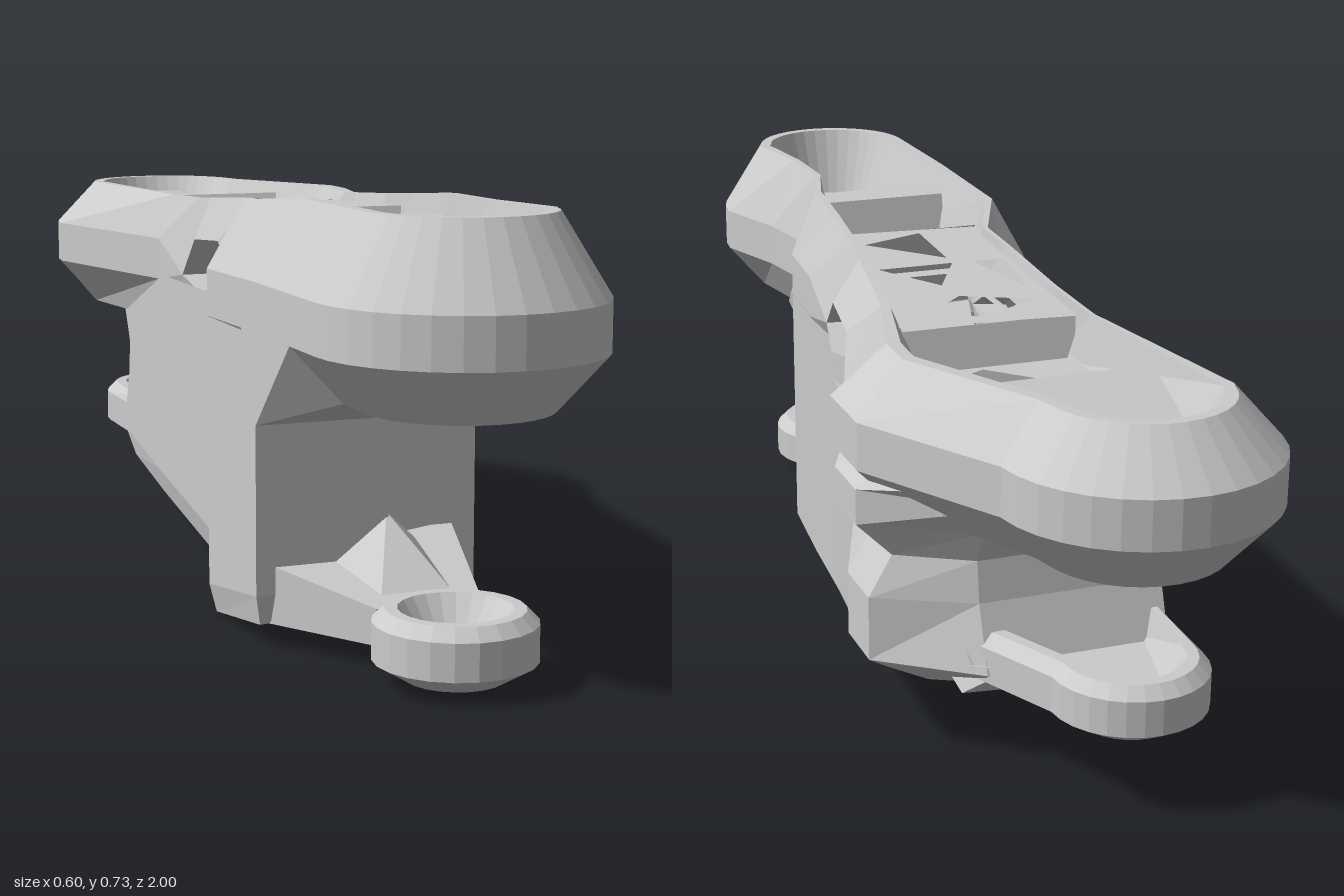
import * as THREE from 'three';
import { ConvexGeometry } from 'three/addons/geometries/ConvexGeometry.js';

const grey = new THREE.MeshStandardMaterial({ color: 0xcccccc, flatShading: true, side: THREE.DoubleSide });
const clamp = THREE.MathUtils.clamp;

function mesh(geo, name) {
  const m = new THREE.Mesh(geo, grey);
  m.name = name;
  return m;
}

// Points [x, z, insetScale] on an arc
function arc(cx, cz, r, a0, a1, n) {
  return Array.from({ length: n + 1 }, (_, i) => {
    const a = a0 + (a1 - a0) * i / n;
    return [cx + r * Math.cos(a), cz + r * Math.sin(a), 1];
  });
}

// Move an outline inwards, each point weighted by its own scale
function inset(pts, d) {
  const n = pts.length;
  return pts.map(([x, z, s = 1], i) => {
    const p = pts[(i + n - 1) % n], q = pts[(i + 1) % n];
    const dx = q[0] - p[0], dz = q[1] - p[1], l = Math.hypot(dx, dz);
    return [x + dz / l * d * s, z - dx / l * d * s];
  });
}

function polygons(pos) {
  const g = new THREE.BufferGeometry();
  g.setAttribute('position', new THREE.Float32BufferAttribute(pos, 3));
  g.computeVertexNormals();
  return g;
}

// Skin a list of rings; quads may be skipped, extra ring pairs may be bridged
function skin(rows, { closed = false, skip = () => false, extra = [] } = {}) {
  const pos = [], n = rows[0].length;
  const quad = (a, b, i) => {
    const j = (i + 1) % n, A = rows[a], B = rows[b];
    pos.push(...A[i], ...A[j], ...B[j], ...A[i], ...B[j], ...B[i]);
  };
  for (let k = 0; k < rows.length - (closed ? 0 : 1); k++)
    for (let i = 0; i < n; i++) if (!skip(k, i)) quad(k, (k + 1) % rows.length, i);
  for (const [a, b, i] of extra) quad(a, b, i);
  return polygons(pos);
}

// Sheet with cut-outs, height given by a rule h(x, z)
function sheet(outline, holes, h) {
  const v = p => new THREE.Vector2(p[0], p[1]);
  const s = new THREE.Shape(outline.map(v));
  s.holes = holes.map(o => new THREE.Path(o.map(v)));
  const g = new THREE.ShapeGeometry(s), p = g.attributes.position;
  for (let i = 0; i < p.count; i++) {
    const x = p.getX(i), z = p.getY(i);
    p.setXYZ(i, x, h(x, z), z);
  }
  g.computeVertexNormals();
  return g;
}

// Plate spanning two edges, each [xLeft, xRight, y, z]
function ramp(a, b) {
  const [p, q, r, s] = [[a[0], a[2], a[3]], [a[1], a[2], a[3]], [b[1], b[2], b[3]], [b[0], b[2], b[3]]];
  return polygons([...p, ...q, ...r, ...p, ...r, ...s]);
}

// Folded strip of plates through a list of edges
function folds(group, name, edges) {
  for (let i = 0; i < edges.length - 1; i++) group.add(mesh(ramp(edges[i], edges[i + 1]), name));
}

const hull = pts => new ConvexGeometry(pts.map(p => new THREE.Vector3(...p)));

const frontWindow = [[-0.18, 0.25], [0.03, 0.23], [0.04, 0.37], [-0.17, 0.37]];
const rearWindow = [[-0.1, -0.49], [0.02, -0.36], [0.12, -0.41], [0.12, -0.51], [0, -0.54]];
const middleCavity = [[-0.13, 0.18], [0.05, 0.18], [0.06, 0], [0.08, -0.3], [-0.13, -0.3]];

// Underside height along the length
function bottom(z) {
  const k = [[0.5, 0.04], [0.4, 0], [0.1, 0], [-0.3, 0.04], [-0.5, 0.1], [-0.75, 0.13]];
  for (let i = 0; i < k.length - 1; i++)
    if (z >= k[i + 1][0]) return THREE.MathUtils.lerp(k[i][1], k[i + 1][1], clamp((k[i][0] - z) / (k[i][0] - k[i + 1][0]), 0, 1));
  return 0.13;
}

function upperFrame() {
  const g = new THREE.Group();
  g.name = 'upperFrame';
  const outline = [
    ...arc(-0.07, 0.77, 0.23, Math.PI, 0, 16),
    [0.11, 0.62, 0.7], [0.09, 0.5, 0.5], [0.13, 0.4, 0.6], [0.14, 0.25, 0.6], [0.155, 0.09, 0.6], [0.17, 0, 0.6],
    [0.19, -0.14, 0.6], [0.22, -0.22, 0.8], [0.3, -0.4, 1.15], [0.3, -0.54, 1.15],
    ...arc(-0.07, -0.77, 0.23, -0.1, -Math.PI, 16),
    [-0.2, -0.38, 0.4], [-0.2, -0.22, 0.4], [-0.2, -0.14, 0.4], [-0.2, 0, 0.4], [-0.2, 0.09, 0.45],
    [-0.3, 0.25, 0.8], [-0.3, 0.5, 1],
  ];
  const n = outline.length;
  const drop = (y, z) => y - clamp((0.5 - z) / 0.8, 0, 1) * (y > 0.7 ? 0.06 : 0.015);
  // Ring profile: outer chamfers, rim, tapering pocket walls above and below
  const profile = [[0.43, 0.08], [0.52, 0], [0.6, 0], [0.73, 0.08], [0.73, 0.1], [0.6, 0.14], [0.52, 0.14], [0.43, 0.1]];
  const inHole = z => z <= 0.091 && z >= -0.221;
  const rows = profile.map(([y, d]) => inset(outline, d).map(([x, z], i) => {
    const oz = outline[i][1];
    let h = drop(y, oz);
    if (inHole(oz) && (y === 0.52 || y === 0.6)) {
      if (oz > 0.08) h = 0.55;
      else if (oz < -0.21) h = 0.53;
      else if (oz < -0.1) h = y === 0.52 ? 0.515 : 0.605;
      else h = y === 0.52 ? 0.5 : 0.615;
    }
    return [x, h, z];
  }));
  const windowCols = outline.map((_, i) => i).filter(i => inHole(outline[i][1]) && inHole(outline[(i + 1) % n][1]));
  g.add(mesh(skin(rows, {
    closed: true,
    skip: (k, i) => (k === 1 || k === 5) && windowCols.includes(i),
    extra: windowCols.flatMap(i => [[1, 6, i], [5, 2, i]]),
  }), 'frameRing'));

  // Floors of the lower and upper pockets with the through windows
  for (const [y, holes] of [[0.52, []], [0.6, [middleCavity]]])
    g.add(mesh(sheet(inset(outline, 0.138), [frontWindow, rearWindow, ...holes], (x, z) => drop(y, z)), 'pocketFloor'));
  // Raised middle plate with triangular lightening cuts
  g.add(mesh(sheet([[-0.17, 0.17], [0.1, 0.19], [0.12, 0], [0.17, -0.31], [-0.17, -0.34]], [
    [[-0.13, -0.19], [-0.15, -0.02], [-0.09, -0.02]],
    [[-0.12, -0.24], [0, -0.3], [0.07, -0.25], [0, -0.19]],
    [[0.01, -0.13], [0.09, -0.02], [-0.05, -0.02]],
    [[-0.05, 0.01], [0.07, 0.12], [-0.05, 0.16]],
  ], (x, z) => 0.675 + z * 0.06), 'middlePlate'));
  // Sloping walls beside windows and inside the end pockets
  folds(g, 'windowSlope', [[-0.17, 0.1, 0.685, 0.18], [-0.18, 0.05, 0.52, 0.24]]);
  folds(g, 'windowSlope', [[-0.17, 0.17, 0.655, -0.33], [-0.1, 0.14, 0.505, -0.37]]);
  folds(g, 'frontPocketSlope', [
    [-0.19, 0.05, 0.52, 0.38], [-0.19, 0.06, 0.69, 0.42], [-0.19, 0.03, 0.69, 0.5],
    [-0.18, 0.04, 0.63, 0.62], [-0.15, 0.02, 0.6, 0.72],
  ]);
  folds(g, 'rearPocketSlope', [
    [-0.1, 0.13, 0.505, -0.54], [-0.17, 0.15, 0.65, -0.61], [-0.17, 0.06, 0.59, -0.75], [-0.16, 0.02, 0.64, -0.87],
  ]);
  return g;
}

function body() {
  const g = new THREE.Group();
  g.name = 'body';
  // Third value weights the inset, fourth the sideways ridge, fifth the rear flare
  const outline = [
    [-0.3, 0.5, 1, 0, 0], [-0.07, 0.5, 1, 0, 0], [-0.07, 0.4, 0.5, 0, 0], [0.13, 0.4, 1, 0, 0], [0.15, 0.2, 1, 0, 0],
    [0.17, 0, 1, 0, 0], [0.2, -0.22, 1, 0.15, 0], [0.24, -0.42, 1, 1, 0], [0.24, -0.53, 1, 1, 0], [0.12, -0.6, 1, 0, 1],
    [-0.2, -0.6, 1, 0, 1], [-0.2, -0.4, 1, 0, 0], [-0.2, 0, 1, 0, 0], [-0.23, 0.1, 1, 0, 0], [-0.3, 0.25, 1, 0, 0],
  ];
  // The left lower edge is almost square
  const lowerEdge = outline.map(([x, z, s]) => [x, z, x < -0.15 ? 0.25 : s]);
  // Rows: [height, inset, ridge, flare]; heights under 0.1 ride on the underside
  const profile = [
    [0, 0.05, -0.03, 0], [0.05, 0, 0.01, 0.04], [0.17, 0, 0.04, 0.05], [0.28, 0, 0.04, 0.01], [0.35, 0, 0, 0],
    [0.41, 0, 0.06, 0.03], [0.47, 0, 0.06, 0.09], [0.515, 0, 0, 0.14],
    [0.5, 0.05, 0, 0], [0.3, 0.05, 0, 0], [0.03, 0.07, 0, 0],
  ];
  const rows = profile.map(([y, d, ridge, flare], k) => inset(k ? outline : lowerEdge, d).map(([x, z], i) => {
    const [, oz, , w, f] = outline[i];
    return [x + ridge * w, y < 0.1 ? bottom(oz) + y : y, z - flare * f];
  }));
  g.add(mesh(skin(rows, { closed: true }), 'bodyWalls'));

  // Folded pits of the underside, rising into the walls of both windows
  folds(g, 'undersideFold', [
    [-0.25, 0.1, 0.5, 0.22], [-0.26, 0.1, 0.03, 0.21], [-0.22, 0.11, 0.2, 0.1], [-0.16, 0.12, 0.05, 0],
    [-0.16, 0.13, 0.22, -0.12], [-0.16, 0.15, 0.07, -0.2], [-0.16, 0.17, 0.24, -0.28],
    [-0.16, 0.18, 0.1, -0.35], [-0.16, 0.18, 0.5, -0.35],
  ]);
  folds(g, 'frontBulkhead', [[-0.25, 0.08, 0.05, 0.38], [-0.25, 0.08, 0.5, 0.39]]);
  return g;
}

// Small lower lug with a tapering pocket in its top
function lug(outline, y, name) {
  const g = new THREE.Group();
  g.name = name;
  const profile = [[0, 0.05], [0.03, 0], [0.09, 0], [0.11, 0.02], [0.11, 0.04], [0.06, 0.075]];
  const rows = profile.map(([h, d]) => inset(outline, d).map(([x, z]) => [x, y + h, z]));
  g.add(mesh(skin(rows), 'lugRing'));
  g.add(mesh(sheet(inset(outline, 0.075), [], () => y + 0.06), 'lugFloor'));
  g.add(mesh(sheet(inset(outline, 0.05), [], () => y), 'lugBase'));
  return g;
}

export function createModel() {
  const model = new THREE.Group();
  model.name = 'linkBracket';
  model.add(upperFrame(), body());

  model.add(lug(arc(-0.07, 0.77, 0.13, Math.PI, -Math.PI, 22).slice(1), 0.01, 'frontLowerLug'));
  model.add(lug([...arc(-0.07, -0.77, 0.13, 0, -Math.PI, 14), [-0.2, -0.56], [0.16, -0.56], [0.12, -0.64]], 0.125, 'rearLowerLug'));

  // Neck and pointed gusset joining the front lug to the body
  model.add(mesh(hull([
    [-0.16, 0.04, 0.67], [0.02, 0.04, 0.67], [-0.16, 0.1, 0.67], [0.02, 0.1, 0.67],
    [-0.28, 0.04, 0.48], [0.09, 0.04, 0.39], [-0.28, 0.14, 0.48], [0.09, 0.16, 0.39],
  ]), 'frontNeck'));
  model.add(mesh(hull([
    [-0.07, 0.21, 0.49], [-0.14, 0.1, 0.64], [-0.01, 0.1, 0.64], [-0.22, 0.1, 0.48], [0.06, 0.1, 0.4],
  ]), 'frontGusset'));
  // Sloped shoulder under the front of the frame
  model.add(mesh(hull([
    [-0.3, 0.37, 0.5], [-0.07, 0.37, 0.5], [0.08, 0.37, 0.41], [-0.3, 0.52, 0.66], [-0.22, 0.43, 0.68],
    [0.07, 0.43, 0.64], [0.09, 0.54, 0.5], [0.12, 0.54, 0.41], [-0.3, 0.54, 0.42], [-0.25, 0.4, 0.42],
  ]), 'frontShoulder'));
  return model;
}
